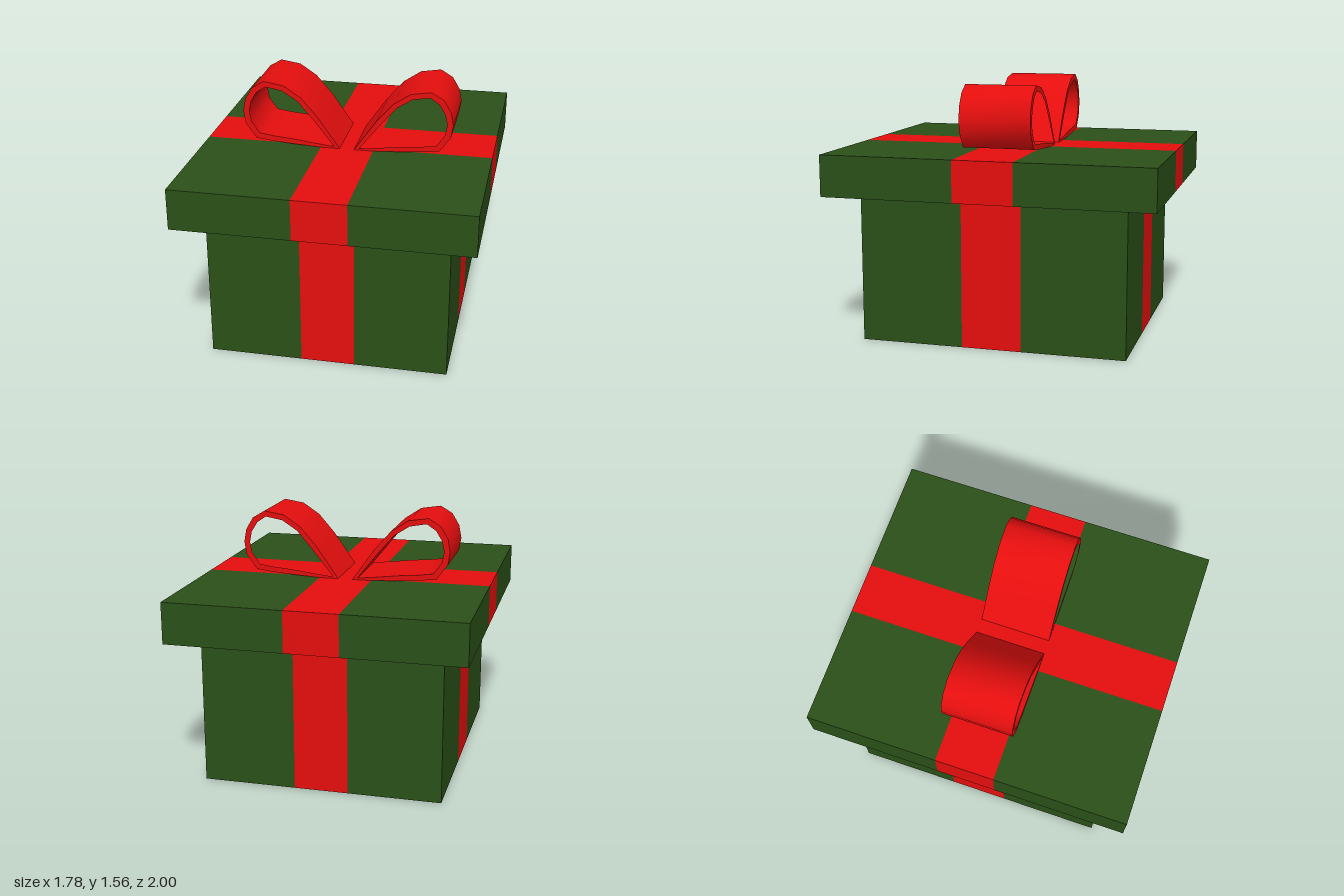
import * as THREE from 'three';
import { toCreasedNormals } from 'three/addons/utils/BufferGeometryUtils.js';

const green = new THREE.MeshStandardMaterial({ color: 0x2a5018 });
const red = new THREE.MeshStandardMaterial({ color: 0xe60e0e });

// Half widths of the two ribbon bands
const BAND_X = 0.163, BAND_Z = 0.182;

// A box whose faces are divided into paper and a flush ribbon cross
function wrappedBox(name, w, h, d, bottom) {
  const grid = new THREE.BoxGeometry(w, h, d, 3, 1, 3);
  const p = grid.attributes.position;
  for (let i = 0; i < p.count; i++) {
    const x = p.getX(i), z = p.getZ(i);
    if (Math.abs(x) < w * 0.4) p.setX(i, Math.sign(x) * BAND_X);
    if (Math.abs(z) < d * 0.4) p.setZ(i, Math.sign(z) * BAND_Z);
  }
  const flat = grid.toNonIndexed();
  const pos = flat.attributes.position, nor = flat.attributes.normal;
  const sets = { Paper: { mat: green, p: [], n: [] }, Ribbon: { mat: red, p: [], n: [] } };
  for (let i = 0; i < pos.count; i += 3) {
    const cx = (pos.getX(i) + pos.getX(i + 1) + pos.getX(i + 2)) / 3;
    const cz = (pos.getZ(i) + pos.getZ(i + 1) + pos.getZ(i + 2)) / 3;
    const set = Math.abs(cx) < BAND_X || Math.abs(cz) < BAND_Z ? sets.Ribbon : sets.Paper;
    for (let k = i; k < i + 3; k++) {
      set.p.push(pos.getX(k), pos.getY(k), pos.getZ(k));
      set.n.push(nor.getX(k), nor.getY(k), nor.getZ(k));
    }
  }
  const group = new THREE.Group();
  group.name = name;
  for (const [part, s] of Object.entries(sets)) {
    const geo = new THREE.BufferGeometry();
    geo.setAttribute('position', new THREE.Float32BufferAttribute(s.p, 3));
    geo.setAttribute('normal', new THREE.Float32BufferAttribute(s.n, 3));
    const mesh = new THREE.Mesh(geo, s.mat);
    mesh.name = name + part;
    group.add(mesh);
  }
  group.position.y = bottom + h / 2;
  return group;
}

// Outer and inner outline of one bow loop, starting at the knot
const OUTER = [[0.045, 1.157], [0.18, 1.35], [0.285, 1.47], [0.39, 1.54], [0.515, 1.56],
  [0.59, 1.515], [0.635, 1.44], [0.65, 1.36], [0.637, 1.28], [0.57, 1.188],
  [0.46, 1.175], [0.34, 1.166], [0.16, 1.157]];
const INNER = [[0.078, 1.168], [0.205, 1.328], [0.305, 1.445], [0.40, 1.506], [0.505, 1.525],
  [0.562, 1.487], [0.6, 1.425], [0.613, 1.36], [0.602, 1.295], [0.55, 1.222],
  [0.46, 1.209], [0.335, 1.198], [0.175, 1.178]];

function bowLoop(name, side) {
  const outline = pts => pts.map(([x, y]) => new THREE.Vector2(side * x, y));
  const shape = new THREE.Shape(outline(OUTER));
  shape.holes.push(new THREE.Path(outline(INNER)));
  const geo = new THREE.ExtrudeGeometry(shape, { depth: 0.436, bevelEnabled: false });
  geo.translate(0, 0, -0.22);
  const mesh = new THREE.Mesh(toCreasedNormals(geo, 1.0), red);
  mesh.name = name;
  return mesh;
}

export function createModel() {
  const model = new THREE.Group();
  model.name = 'giftBox';
  model.add(
    wrappedBox('box', 1.454, 0.905, 1.626, 0),
    wrappedBox('lid', 1.78, 0.252, 2, 0.905),
    bowLoop('leftBowLoop', 1),
    bowLoop('rightBowLoop', -1),
  );
  return model;
}
